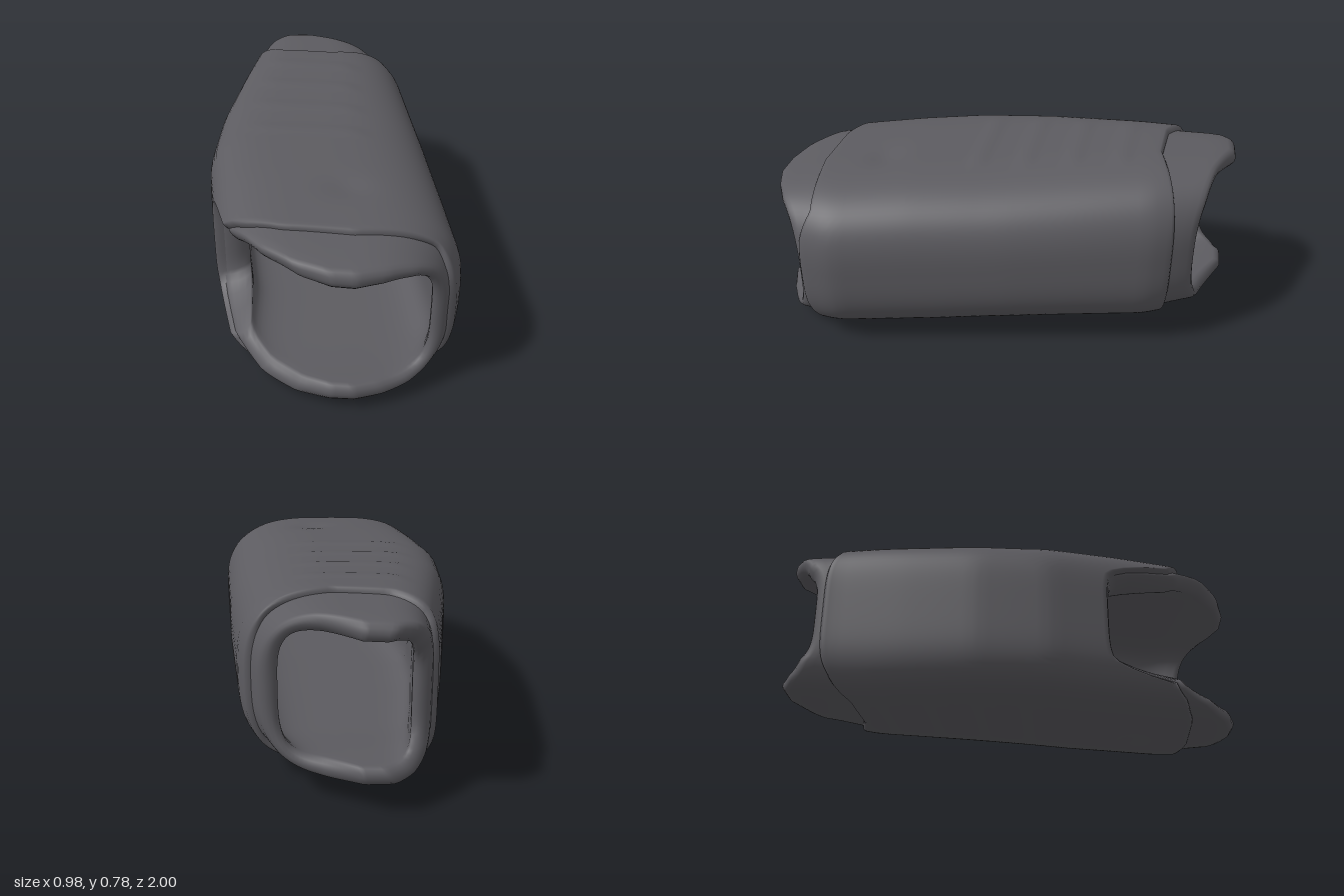
import * as THREE from 'three';

// Piecewise-linear lookup: table of [key, value] in rising key order
function look(table, k) {
  if (k <= table[0][0]) return table[0][1];
  for (let i = 1; i < table.length; i++) {
    const [k0, v0] = table[i - 1], [k1, v1] = table[i];
    if (k <= k1) return v0 + (v1 - v0) * (k - k0) / (k1 - k0);
  }
  return table[table.length - 1][1];
}

// Slightly averaged lookup so the bends stay soft
const soft = (t, k, w = 0.04) => (look(t, k - w) + 2 * look(t, k) + look(t, k + w)) / 4;

// Outer limits of the body along z
const minX = [[-1, -0.25], [-0.8, -0.285], [-0.5, -0.37], [-0.2, -0.45], [0.1, -0.495], [0.4, -0.475], [0.65, -0.455], [0.8, -0.43], [1, -0.4]];
const maxX = [[-1, 0.36], [-0.8, 0.395], [-0.7, 0.425], [-0.6, 0.455], [0, 0.48], [0.72, 0.493], [0.8, 0.465], [0.88, 0.43], [1, 0.42]];
const maxY = [[-1, 0.775], [-0.9, 0.785], [-0.6, 0.785], [0, 0.747], [0.4, 0.73], [0.8, 0.70], [1, 0.665]];
const minY = [[-1, 0.10], [-0.8, 0.085], [-0.62, 0.06], [0, 0.032], [0.3, 0.015], [0.75, 0.002], [0.85, 0.002], [1, 0.018]];
// Extra thickness of the wall that is cut back at the front
const thickerWall = [[-0.8, 0], [0, 0.05], [0.4, 0.05], [0.7, 0]];

// End positions across the section, from the right wall (-1) to the left wall (1)
const sleeveFront = [[-1, 0.35], [-0.985, 0.37], [-0.93, 0.63], [-0.8, 0.69], [-0.5, 0.75], [0.1, 0.80], [0.8, 0.80], [0.97, 0.85], [1, 0.855]];
const sleeveBack = [[-1, -0.84], [-0.9, -0.80], [-0.5, -0.71], [0.1, -0.66], [0.8, -0.68], [1, -0.69]];
const linerFront = [[-1, 0.36], [-0.985, 0.38], [-0.93, 0.66], [-0.75, 0.82], [-0.45, 0.93], [-0.15, 0.985], [0.1, 1.0], [0.4, 0.98], [0.65, 0.945], [0.85, 0.90], [1, 0.87]];
const linerBack = [[-1, -0.875], [-0.95, -0.92], [-0.8, -0.965], [-0.55, -1.0], [-0.15, -0.985], [0.4, -0.885], [0.85, -0.82], [1, -0.79]];

// Low grip ridges and a thumb dent on the broad faces
function relief(s, z) {
  const across = THREE.MathUtils.smoothstep(s, -0.7, -0.5) * (1 - THREE.MathUtils.smoothstep(s, 0.25, 0.45));
  const zz = z - s * 0.08;
  const ridge = zz > -0.55 && zz < 0.25 ? 0.005 * Math.max(0, Math.sin((zz + 0.55) * Math.PI * 2 / 0.2)) : 0;
  const dent = 0.012 * Math.exp(-((s - 0.1) ** 2) / 0.03 - ((z - 0.53) ** 2) / 0.005);
  return ridge * across - dent;
}

// Point on the rounded section: inset 0 is the outside, larger values lie further in
function sectionPoint(angle, z, inset, depth, withRelief) {
  const c = Math.cos(angle), q = Math.sin(angle);
  const n = c < 0 ? 4.6 + 2 * depth : 2.9 + 2.1 * depth; // right corners are squarer
  const r = (Math.abs(c) ** n + Math.abs(q) ** n) ** (-1 / n);
  const x0 = soft(minX, z) + inset + depth * soft(thickerWall, z), x1 = soft(maxX, z) - inset;
  const y0 = soft(minY, z) + inset, y1 = soft(maxY, z) - inset;
  let y = (y0 + y1) / 2 + r * q * (y1 - y0) / 2;
  if (withRelief && Math.abs(q) > 0.3) y += Math.sign(q) * relief(c * r, z);
  return [(x0 + x1) / 2 + r * c * (x1 - x0) / 2, y, z];
}

// Closed tube wall with rolled ends, running outside, front edge, inside, back edge
function shellGeometry({ front, back, outer, inner, roll, rows, withRelief }) {
  const around = 128, turns = 6, path = [];
  for (let i = 0; i <= rows; i++) path.push([i / rows, 0, 0]);
  for (let i = 1; i < turns; i++) {
    const a = Math.PI * i / turns;
    path.push([1, Math.sin(a), (1 - Math.cos(a)) / 2]);
  }
  for (let i = rows; i >= 0; i--) path.push([i / rows, 0, 1]);
  for (let i = 1; i < turns; i++) {
    const a = Math.PI * i / turns;
    path.push([0, -Math.sin(a), (1 + Math.cos(a)) / 2]);
  }
  const pos = [], index = [];
  for (const [t, bulge, depth] of path) {
    for (let j = 0; j < around; j++) {
      const angle = j / around * Math.PI * 2;
      const c = Math.cos(angle), q = Math.sin(angle), n = c < 0 ? 4.6 : 2.9;
      const s = c * (Math.abs(c) ** n + Math.abs(q) ** n) ** (-1 / n);
      const zb = look(back, s) + roll, zf = look(front, s) - roll;
      const z = zb + (zf - zb) * t + bulge * roll;
      pos.push(...sectionPoint(angle, z, outer + (inner - outer) * depth, depth, withRelief && depth === 0));
    }
  }
  const m = path.length;
  for (let i = 0; i < m; i++) {
    for (let j = 0; j < around; j++) {
      const k = (j + 1) % around, i2 = (i + 1) % m;
      const a = i * around + j, b = i * around + k, d = i2 * around + j, e = i2 * around + k;
      index.push(a, b, d, b, e, d);
    }
  }
  const g = new THREE.BufferGeometry();
  g.setAttribute('position', new THREE.Float32BufferAttribute(pos, 3));
  g.setIndex(index);
  g.computeVertexNormals();
  return g;
}

export function createModel() {
  const group = new THREE.Group();
  group.name = 'gripSleeve';
  const rubber = new THREE.MeshStandardMaterial({ color: 0x5c5b60 });
  rubber.name = 'dark grey rubber';

  const add = (name, options) => {
    const mesh = new THREE.Mesh(shellGeometry(options), rubber);
    mesh.name = name;
    group.add(mesh);
  };

  // Outer sleeve with the ridged faces
  add('outerSleeve', { front: sleeveFront, back: sleeveBack, outer: 0, inner: 0.06, roll: 0.015, rows: 80, withRelief: true });
  // Thicker liner whose rounded lips stand out at both ends
  add('innerLiner', { front: linerFront, back: linerBack, outer: 0.022, inner: 0.098, roll: 0.035, rows: 40, withRelief: false });

  return group;
}
